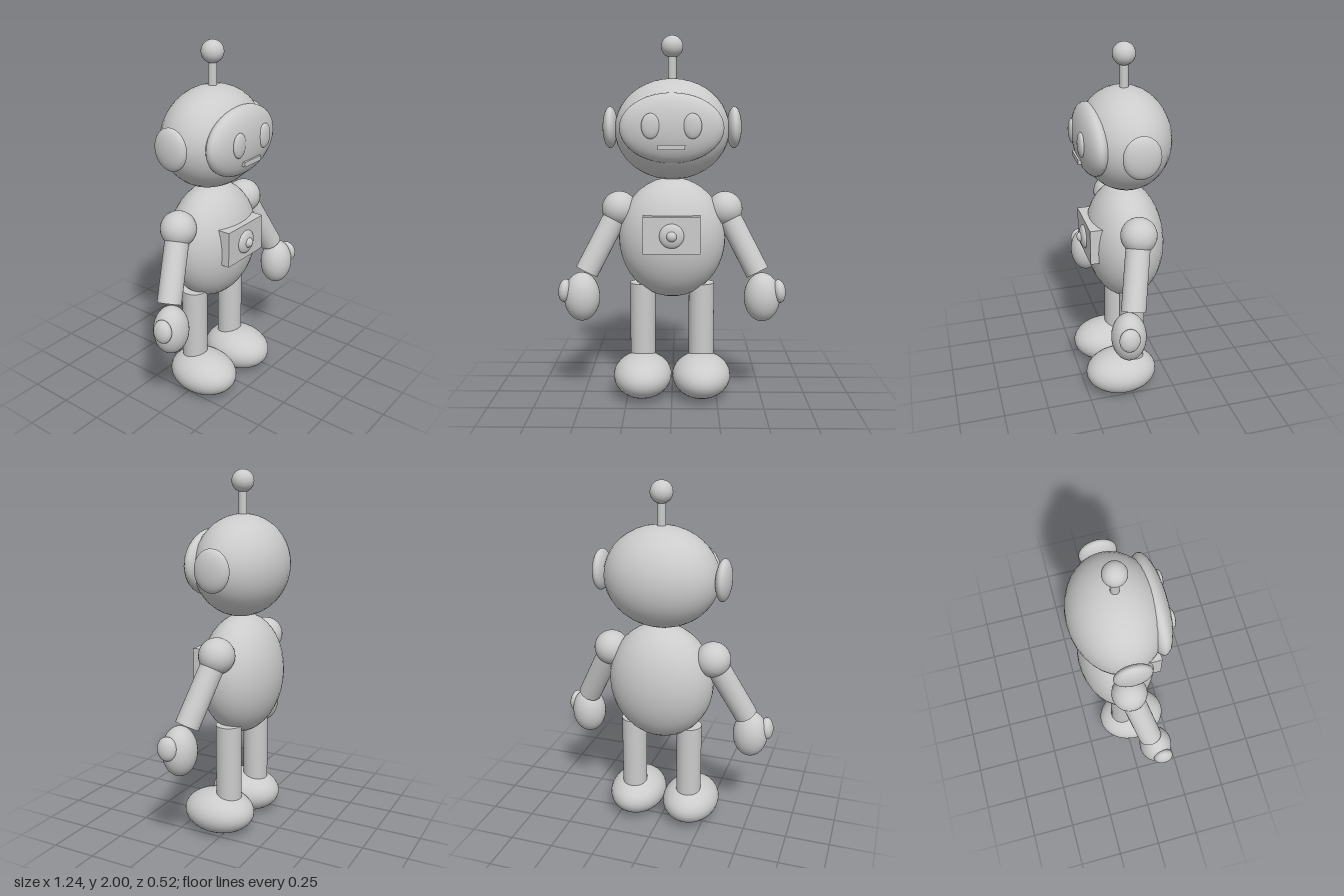
import * as THREE from 'three';

const material = new THREE.MeshStandardMaterial({ color: 0xcccccc });
const AXIS_Z = -0.014; // depth of the body's vertical axis

function add(parent, name, geometry, x, y, z) {
  const mesh = new THREE.Mesh(geometry, material);
  mesh.name = name;
  mesh.position.set(x, y, z);
  parent.add(mesh);
  return mesh;
}

// Ellipsoid given by its centre and three radii
function blob(parent, name, [x, y, z], [rx, ry, rz]) {
  const geometry = new THREE.SphereGeometry(1, 32, 20).scale(rx, ry, rz);
  return add(parent, name, geometry, x, y, z);
}

// Cylinder between two points
function rod(parent, name, from, to, radius) {
  const a = new THREE.Vector3(...from);
  const d = new THREE.Vector3(...to).sub(a);
  const mesh = add(parent, name, new THREE.CylinderGeometry(radius, radius, d.length(), 32), 0, 0, 0);
  mesh.position.copy(a).addScaledVector(d, 0.5);
  mesh.quaternion.setFromUnitVectors(new THREE.Vector3(0, 1, 0), d.normalize());
  return mesh;
}

function group(parent, name) {
  const g = new THREE.Group();
  g.name = name;
  parent.add(g);
  return g;
}

export function createModel() {
  const model = new THREE.Group();
  model.name = 'robot';

  // Head with face plate, mouth and antenna
  const head = group(model, 'head');
  blob(head, 'skull', [0, 1.498, AXIS_Z], [0.315, 0.274, 0.247]);
  blob(head, 'facePlate', [0, 1.508, 0.17], [0.276, 0.184, 0.08]);
  add(head, 'mouth', new THREE.BoxGeometry(0.142, 0.026, 0.04), 0, 1.411, 0.231);
  rod(head, 'antennaStem', [0, 1.72, AXIS_Z], [0, 1.92, AXIS_Z], 0.023);
  blob(head, 'antennaBall', [0, 1.941, AXIS_Z], [0.06, 0.06, 0.06]);

  // Torso with chest panel and button
  const torso = group(model, 'torso');
  blob(torso, 'belly', [0, 0.9, AXIS_Z], [0.297, 0.335, 0.214]);
  add(torso, 'chestPanel', new THREE.BoxGeometry(0.306, 0.2, 0.09), 0, 0.944, 0.168);
  blob(torso, 'buttonRing', [0, 0.941, 0.213], [0.066, 0.066, 0.024]);
  blob(torso, 'buttonCentre', [0, 0.941, 0.23], [0.028, 0.028, 0.025]);

  // Mirrored parts: the model's left is +x
  for (const s of [1, -1]) {
    const side = s > 0 ? 'left' : 'right';
    blob(head, side + 'Eye', [s * 0.109, 1.52, 0.242], [0.048, 0.066, 0.018]);
    blob(head, side + 'Ear', [s * 0.339, 1.508, AXIS_Z], [0.041, 0.113, 0.1]);

    const arm = group(model, side + 'Arm');
    blob(arm, 'shoulder', [s * 0.293, 1.06, AXIS_Z], [0.097, 0.097, 0.097]);
    rod(arm, 'armTube', [s * 0.293, 1.06, AXIS_Z], [s * 0.471, 0.717, 0.065], 0.065);
    blob(arm, 'hand', [s * 0.495, 0.586, 0.096], [0.099, 0.135, 0.092]);
    const thumb = blob(arm, 'thumb', [s * 0.585, 0.623, 0.116], [0.036, 0.064, 0.055]);
    thumb.rotation.z = s * 0.1;

    const leg = group(model, side + 'Leg');
    rod(leg, 'legTube', [s * 0.165, 0.13, AXIS_Z], [s * 0.165, 0.643, AXIS_Z], 0.071);
    blob(leg, 'foot', [s * 0.165, 0.125, 0.047], [0.163, 0.123, 0.204]);
  }
  return model;
}
